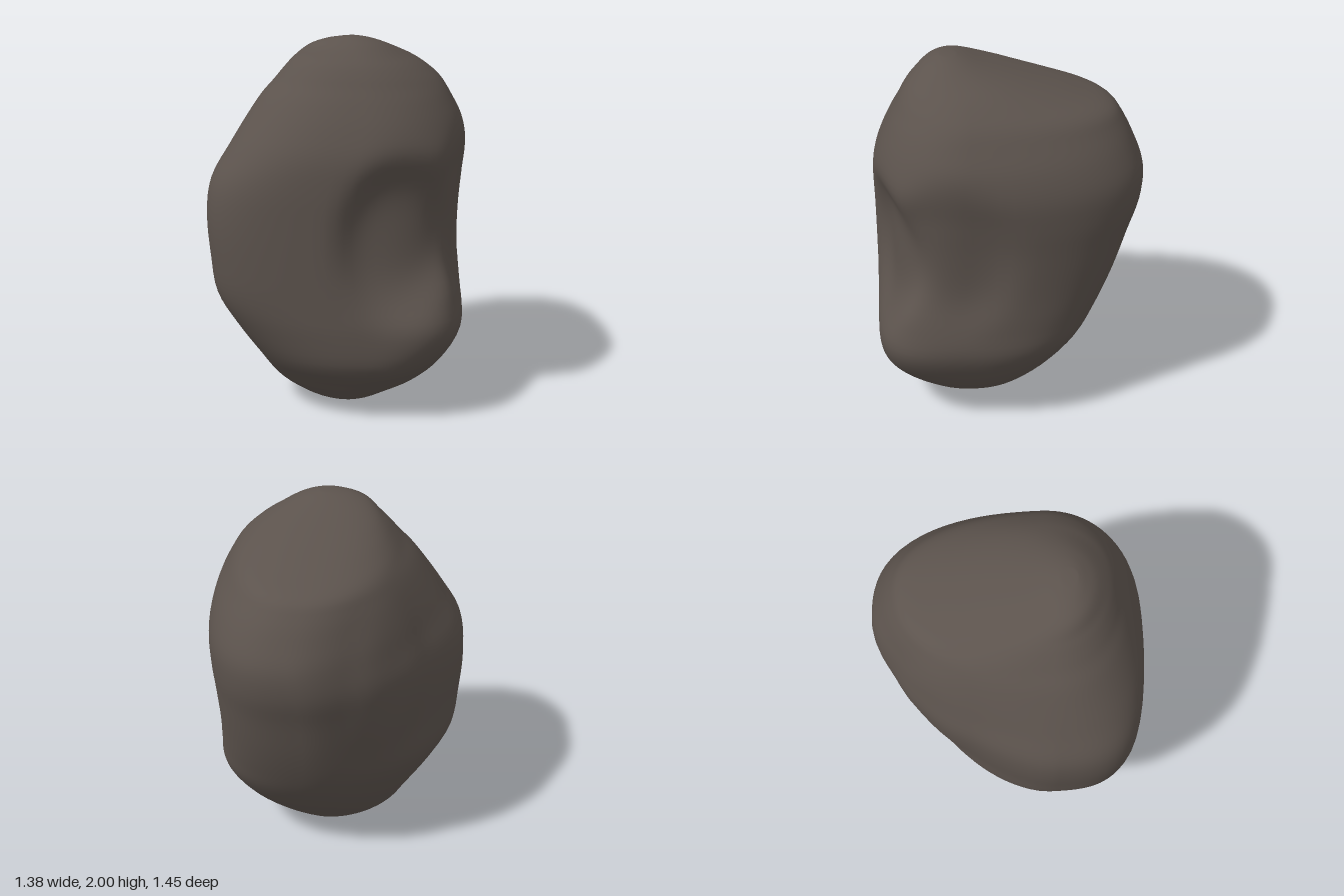
import * as THREE from 'three';

// Horizontal sections: y, xMin, xMax, zMin, zMax, roundness of back-left and front-right corners
const SECTIONS = [
  [0.0, 0.0, 0.07, 0.18, 0.28, 2, 2],
  [0.03, -0.14, 0.22, 0.0, 0.4, 2, 2],
  [0.08, -0.25, 0.33, -0.08, 0.47, 2.1, 2.1],
  [0.16, -0.35, 0.47, -0.16, 0.56, 2.1, 2.2],
  [0.3, -0.44, 0.59, -0.29, 0.69, 2, 2.7],
  [0.48, -0.56, 0.675, -0.42, 0.72, 1.85, 3.6],
  [0.65, -0.65, 0.67, -0.51, 0.72, 1.7, 3.2],
  [0.85, -0.675, 0.66, -0.59, 0.72, 1.55, 2.7],
  [1.08, -0.69, 0.67, -0.66, 0.72, 1.5, 2.5],
  [1.26, -0.665, 0.685, -0.715, 0.72, 1.5, 2.3],
  [1.42, -0.575, 0.69, -0.72, 0.71, 1.6, 2.2],
  [1.56, -0.49, 0.66, -0.67, 0.67, 1.8, 2.1],
  [1.68, -0.41, 0.6, -0.61, 0.62, 2, 2.1],
  [1.76, -0.34, 0.55, -0.54, 0.58, 2.2, 2],
  [1.82, -0.29, 0.49, -0.36, 0.55, 2.2, 2],
  [1.88, -0.235, 0.41, -0.15, 0.51, 2.1, 2],
  [1.95, -0.15, 0.28, 0.09, 0.44, 2, 2],
  [1.985, -0.06, 0.19, 0.2, 0.38, 2, 2],
  [2.0, 0.03, 0.12, 0.26, 0.34, 2, 2],
];

// Hollows and swellings: centre, radii, push
const DENTS = [
  { c: [0.34, 0.99, 0.58], r: [0.29, 0.4, 0.42], push: [-0.03, 0, -0.1] },
  { c: [0.66, 1.08, 0.32], r: [0.28, 0.4, 0.32], push: [-0.05, 0, 0] },
  { c: [-0.33, 1.25, -0.42], r: [0.24, 0.45, 0.24], push: [-0.015, 0, -0.015] },
];

function dent(p) {
  const q = p.clone();
  for (const { c, r, push } of DENTS) {
    const d = Math.hypot(...p.toArray().map((v, k) => (v - c[k]) / r[k]));
    q.addScaledVector(new THREE.Vector3(...push), Math.exp(-(d ** 5)));
  }
  return q;
}

function boulderGeometry(rings = 72, sides = 84) {
  const n = SECTIONS.length;
  const curve = new THREE.CubicInterpolant(SECTIONS.map((_, i) => i), SECTIONS.flat(), 7);
  const pos = [], index = [];
  for (let i = 0; i <= rings; i++) {
    const [y, x0, x1, z0, z1, nBackLeft, nFrontRight] = curve.evaluate((i / rings) * (n - 1));
    const cx = THREE.MathUtils.lerp(x0, x1, 0.56), cz = Math.max(0.2, (z0 + z1) / 2);
    const body = Math.sin(Math.PI * y / 2) ** 2;
    for (let j = 0; j < sides; j++) {
      const a = (j / sides) * Math.PI * 2, c = Math.cos(a), s = Math.sin(a);
      // each quadrant is its own superellipse
      const e = s >= 0
        ? (c >= 0 ? nFrontRight : 2 + 1.6 * body)
        : (c >= 0 ? 2.1 + 0.9 * body : nBackLeft);
      const r = (Math.abs(c) ** e + Math.abs(s) ** e) ** (-1 / e);
      const p = new THREE.Vector3(
        cx + r * c * (c >= 0 ? x1 - cx : cx - x0), y,
        cz + r * s * (s >= 0 ? z1 - cz : cz - z0));
      pos.push(...dent(p).toArray());
      if (i < rings) {
        const k = (j + 1) % sides, A = i * sides + j, B = i * sides + k;
        index.push(A, A + sides, B, B, A + sides, B + sides);
      }
    }
  }
  // close the bottom and the top
  for (const [ring, up] of [[0, false], [rings, true]]) {
    const s = SECTIONS[up ? n - 1 : 0], centre = pos.length / 3;
    pos.push((s[1] + s[2]) / 2, s[0], (s[3] + s[4]) / 2);
    for (let j = 0; j < sides; j++) {
      const A = ring * sides + j, B = ring * sides + (j + 1) % sides;
      index.push(centre, up ? B : A, up ? A : B);
    }
  }
  const g = new THREE.BufferGeometry();
  g.setAttribute('position', new THREE.Float32BufferAttribute(pos, 3));
  g.setIndex(index);
  g.computeVertexNormals();
  return g;
}

export function createModel() {
  const group = new THREE.Group();
  group.name = 'rock';
  const boulder = new THREE.Mesh(boulderGeometry(), new THREE.MeshStandardMaterial({ color: 0x5c534d }));
  boulder.name = 'boulder';
  group.add(boulder);
  return group;
}
